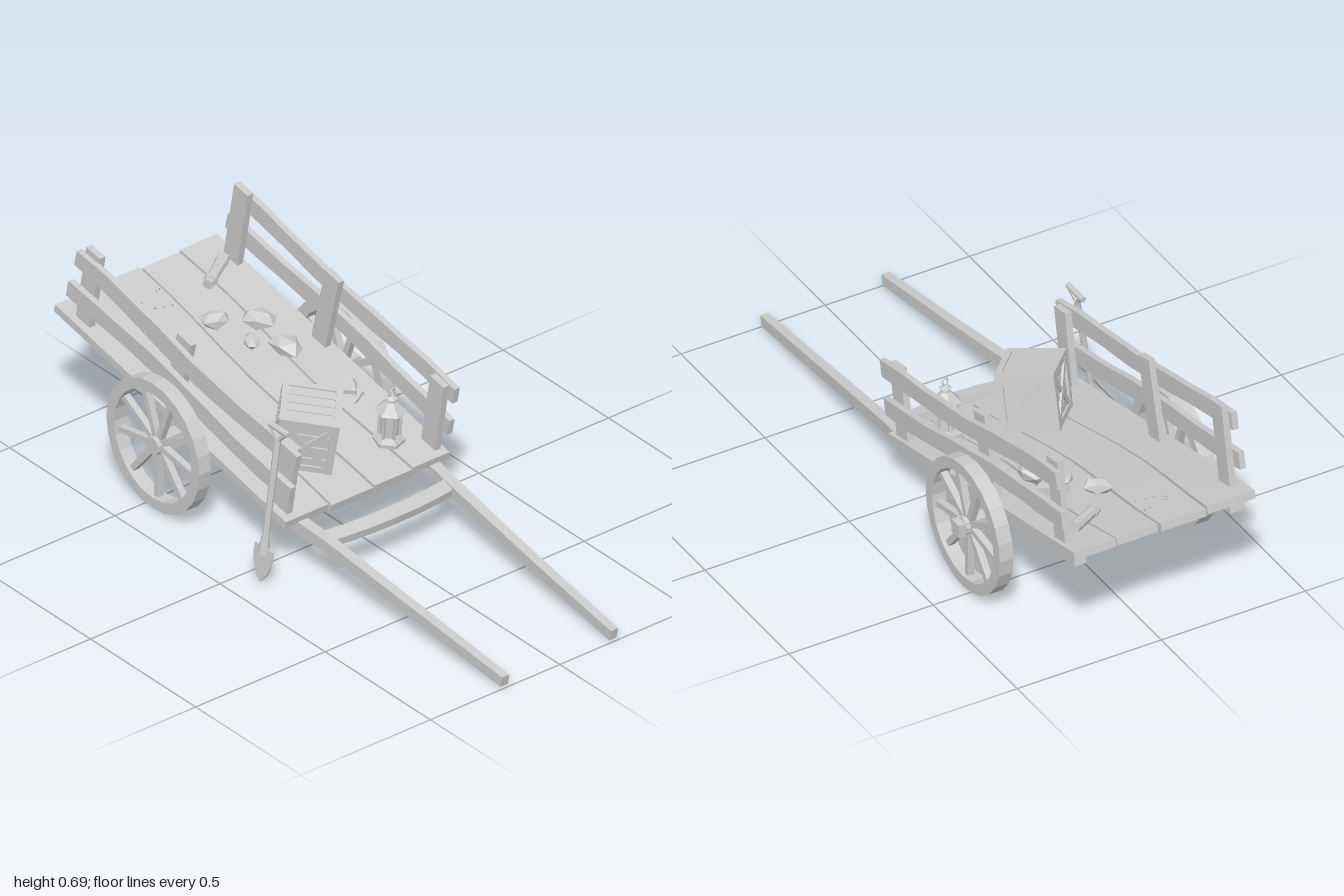
import * as THREE from 'three';

const mat = new THREE.MeshStandardMaterial({ color: 0xcccccc, flatShading: true, side: THREE.DoubleSide });

function add(parent, name, geo, pos = [0, 0, 0], rot = [0, 0, 0]) {
  const m = new THREE.Mesh(geo, mat);
  m.name = name;
  m.position.set(...pos);
  m.rotation.set(...rot);
  parent.add(m);
  return m;
}

function group(parent, name, pos = [0, 0, 0], rot = [0, 0, 0]) {
  const g = new THREE.Group();
  g.name = name;
  g.position.set(...pos);
  g.rotation.set(...rot);
  parent.add(g);
  return g;
}

const box = (w, h, d) => new THREE.BoxGeometry(w, h, d);
const cyl = (r1, r2, h, n = 8) => new THREE.CylinderGeometry(r1, r2, h, n);

// Timber running along x; each station is [x, y, z, height, width]
function timber(stations) {
  const rings = stations.map(([x, y, z, h, w]) =>
    [[-1, -1], [-1, 1], [1, 1], [1, -1]].map(([a, b]) => [x, y + a * h / 2, z + b * w / 2]));
  const out = [];
  const quad = (a, b, c, d) => out.push(...a, ...b, ...c, ...a, ...c, ...d);
  for (let k = 0; k < rings.length - 1; k++) {
    for (let i = 0; i < 4; i++) {
      const j = (i + 1) % 4;
      quad(rings[k][i], rings[k + 1][i], rings[k + 1][j], rings[k][j]);
    }
  }
  quad(...rings[0]);
  quad(...[...rings[rings.length - 1]].reverse());
  const g = new THREE.BufferGeometry();
  g.setAttribute('position', new THREE.Float32BufferAttribute(out, 3));
  g.computeVertexNormals();
  return g;
}

// n + 1 evenly spaced stations from a to b
const stations = (a, b, n, f) => Array.from({ length: n + 1 }, (_, i) => f(a + (b - a) * i / n, i));

function buildWheel(parent, name, z) {
  const wheel = group(parent, name, [-0.46, 0.225, z], [Math.PI / 2, 0, 0]);
  const profile = [[0.183, -0.024], [0.22, -0.024], [0.22, 0.024], [0.183, 0.024], [0.183, -0.024]];
  add(wheel, 'rim', new THREE.LatheGeometry(profile.map(p => new THREE.Vector2(...p)), 24));
  add(wheel, 'hub', cyl(0.03, 0.03, 0.052, 10));
  const count = 9;
  for (let i = 0; i < count; i++) {
    const a = (i + 0.25) / count * Math.PI * 2;
    add(wheel, 'spoke', box(0.17, 0.022, 0.02), [Math.cos(a) * 0.105, 0, Math.sin(a) * 0.105], [0, -a, 0]);
  }
}

function buildBed(bed) {
  // Four floor planks with gently wandering seams
  const seam = (i, u) => [-0.312, -0.155, 0.0, 0.165, 0.328][i] + (i % 4 ? 0.012 * Math.sin(u * 6 + i * 0.7) : 0);
  for (let i = 0; i < 4; i++) {
    add(bed, 'floorPlank', timber(stations(-0.57 + (i % 2) * 0.006, 0.56 + (i % 3) * 0.004, 8, u => {
      const a = seam(i, u) + 0.004, b = seam(i + 1, u) - 0.004;
      return [u, -0.014 + 0.002 * Math.sin(u * 5 + i), (a + b) / 2, 0.026, b - a];
    })));
  }
  // Side fences: three posts and two warped rails each
  for (const s of [1, -1]) {
    const fence = group(bed, s > 0 ? 'leftFence' : 'rightFence', [0, 0, s > 0 ? 0.005 : 0]);
    for (const [u, h, lean] of [[-0.465, 0.275, 0.03], [-0.03, 0.272, -0.03], [0.495, 0.25, 0.04]]) {
      add(fence, 'post', box(0.066, h, 0.022), [u, h / 2 - 0.005, s * 0.283], [0, 0, lean]);
    }
    for (const [v, a, b, z] of [[0.215, -0.52, 0.55, 0.303], [0.098, -0.53, 0.55, 0.305]]) {
      add(fence, 'rail', timber(stations(a, b, 8, (u, i) =>
        [u, v + 0.007 * Math.sin(u * 7 + v * 20), s * (z + 0.004 * Math.sin(u * 6)), 0.056 + 0.006 * (i % 2), 0.02])));
    }
    // Shaft running under the floor and out to the handle
    add(bed, s > 0 ? 'leftShaft' : 'rightShaft', timber([
      [-0.53, -0.045, s * 0.27, 0.045, 0.04], [0.0, -0.048, s * 0.265, 0.045, 0.04],
      [0.56, -0.045, s * 0.255, 0.045, 0.038], [0.68, -0.035, s * 0.245, 0.043, 0.036],
      [1.1, -0.006, s * 0.225, 0.04, 0.032], [1.477, 0.024, s * 0.21, 0.037, 0.028]]));
    add(bed, 'axleBlock', box(0.09, 0.05, 0.04), [0, -0.085, s * 0.265]);
  }
  // Cross members between the shafts
  const bar = (name, u, v, bow) => add(bed, name, timber(stations(-0.25, 0.25, 6, x =>
    [x, v + 0.004 * Math.cos(x * 12), -bow * Math.cos(x * 6.3), 0.028, 0.05])), [u, 0, 0], [0, -Math.PI / 2, 0]);
  bar('frontCrossbar', 0.655, -0.03, 0.022);
  bar('middleCrossbar', 0.42, -0.045, 0.005);
  bar('rearCrossbar', -0.45, -0.045, 0.005);
}

function buildCrate(bed) {
  const crate = group(bed, 'crate', [0.335, 0.094, 0.08], [0, -0.73, 0]);
  add(crate, 'core', box(0.158, 0.17, 0.158));
  for (let k = 0; k < 4; k++) {
    const side = group(crate, 'crateSide', [0, 0, 0], [0, k * Math.PI / 2, 0]);
    for (let i = 0; i < 4; i++) add(side, 'slat', box(0.16, 0.039, 0.008), [0, -0.066 + i * 0.044, 0.08]);
    for (const s of [1, -1]) {
      add(side, 'frameUpright', box(0.022, 0.186, 0.014), [s * 0.08, 0, 0.085]);
      add(side, 'frameBar', box(0.144, 0.02, 0.012), [0, s * 0.082, 0.085]);
      add(side, 'brace', box(0.205, 0.018, 0.009), [0, 0, 0.086 + s * 0.001], [0, 0, s * 0.8]);
    }
    add(side, 'lidBorder', box(0.184, 0.014, 0.02), [0, 0.091, 0.082]);
  }
  for (let i = 0; i < 4; i++) add(crate, 'lidPlank', box(0.034, 0.012, 0.15), [-0.055 + i * 0.0367, 0.087, 0]);
}

function buildLantern(bed) {
  const lantern = group(bed, 'lantern', [0.425, 0, -0.18], [0, 0.3, 0.1]);
  // Stacked [bottom radius, top radius, base height, height]
  for (const [r0, r1, y, h] of [[0.05, 0.05, 0, 0.012], [0.046, 0.034, 0.012, 0.014], [0.03, 0.03, 0.026, 0.085],
    [0.036, 0.036, 0.108, 0.008], [0.05, 0.016, 0.116, 0.034], [0.016, 0.014, 0.15, 0.012], [0.02, 0.004, 0.162, 0.01]]) {
    add(lantern, 'lanternBody', cyl(r1, r0, h, 6), [0, y + h / 2, 0]);
  }
  for (let i = 0; i < 6; i++) {
    const a = i * Math.PI / 3;
    add(lantern, 'lanternPost', box(0.008, 0.085, 0.008), [Math.sin(a) * 0.033, 0.068, Math.cos(a) * 0.033], [0, a, 0]);
  }
  add(lantern, 'lanternRing', new THREE.TorusGeometry(0.012, 0.003, 5, 10), [0, 0.182, 0], [0, Math.PI / 2, 0]);
}

function buildCargo(bed) {
  // Angular rocks, each squashed and skewed by its own rule
  [[-0.18, -0.155, 0.055, 0.7], [-0.04, -0.15, 0.056, 0.2], [-0.25, -0.04, 0.046, 1.1], [-0.12, -0.08, 0.036, -0.6]]
    .forEach(([u, z, r, turn], k) => {
      const g = new THREE.IcosahedronGeometry(r, 0), p = g.attributes.position;
      for (let i = 0; i < p.count; i++) {
        const x = p.getX(i), y = p.getY(i), q = p.getZ(i);
        const f = 1 + 0.15 * Math.sin(x * 70 + k * 2) * Math.cos(q * 60 + y * 40 + k);
        p.setXYZ(i, x * f * 1.05, y * f * 0.6, q * f * 0.75);
      }
      g.computeVertexNormals();
      add(bed, 'rock', g, [u, r * 0.5, z], [0, turn, 0.1]);
    });
  // Small crumbs of stone
  for (let i = 0; i < 8; i++) {
    add(bed, 'pebble', new THREE.TetrahedronGeometry(0.006),
      [-0.42 + 0.04 * Math.sin(i * 2.3), 0.002, 0.05 + 0.05 * Math.cos(i * 1.7)], [i, i, 0]);
  }
  // Pickaxe lying on the floor
  const pick = group(bed, 'pickaxe', [0.165, 0.014, -0.155], [0, 0.92, 0]);
  add(pick, 'pickHandle', box(0.21, 0.014, 0.014));
  add(pick, 'pickHead', timber(stations(-0.055, 0.055, 6, x =>
    [x, 0, 5 * x * x, 0.02 - Math.abs(x) * 0.25, 0.018 - Math.abs(x) * 0.25])), [0.09, 0.002, 0], [0, -Math.PI / 2, 0]);
  // Rolled bundle with tied bands
  const roll = group(bed, 'roll', [-0.42, 0.022, -0.18], [Math.PI / 2, 0, -0.55]);
  add(roll, 'rollBody', cyl(0.017, 0.02, 0.14));
  for (const y of [-0.045, 0.045]) add(roll, 'rollBand', cyl(0.021, 0.022, 0.012), [0, y, 0]);
}

function buildShovel(root) {
  const shovel = group(root, 'shovel', [0.065, 0.005, 0.398], [-0.145, 0, 0]);
  add(shovel, 'shovelShaft', cyl(0.011, 0.011, 0.37), [0, 0.295, 0]);
  add(shovel, 'socket', cyl(0.013, 0.018, 0.06), [0, 0.125, 0]);
  add(shovel, 'grip', cyl(0.01, 0.01, 0.09), [0, 0.512, 0], [0, 0, Math.PI / 2]);
  for (const s of [1, -1]) add(shovel, 'gripArm', box(0.01, 0.048, 0.014), [s * 0.017, 0.492, 0], [0, 0, -s * 0.75]);
  const shape = new THREE.Shape();
  shape.moveTo(-0.042, 0.115);
  shape.lineTo(0.042, 0.115);
  shape.quadraticCurveTo(0.05, 0.04, 0, 0);
  shape.quadraticCurveTo(-0.05, 0.04, -0.042, 0.115);
  const blade = new THREE.ExtrudeGeometry(shape, { depth: 0.006, bevelEnabled: false, curveSegments: 5 });
  add(shovel, 'blade', blade, [0, 0, -0.003]);
}

export function createModel() {
  const root = new THREE.Group();
  root.name = 'handcart';
  // Everything on the sloping floor shares its tilted frame
  const bed = group(root, 'bed', [-0.45, 0.32, 0], [0, 0, -0.215]);
  buildBed(bed);
  buildCrate(bed);
  buildLantern(bed);
  buildCargo(bed);
  buildWheel(root, 'leftWheel', 0.362);
  buildWheel(root, 'rightWheel', -0.35);
  add(root, 'axle', box(0.045, 0.045, 0.775), [-0.46, 0.225, -0.0125]);
  buildShovel(root);
  return root;
}
